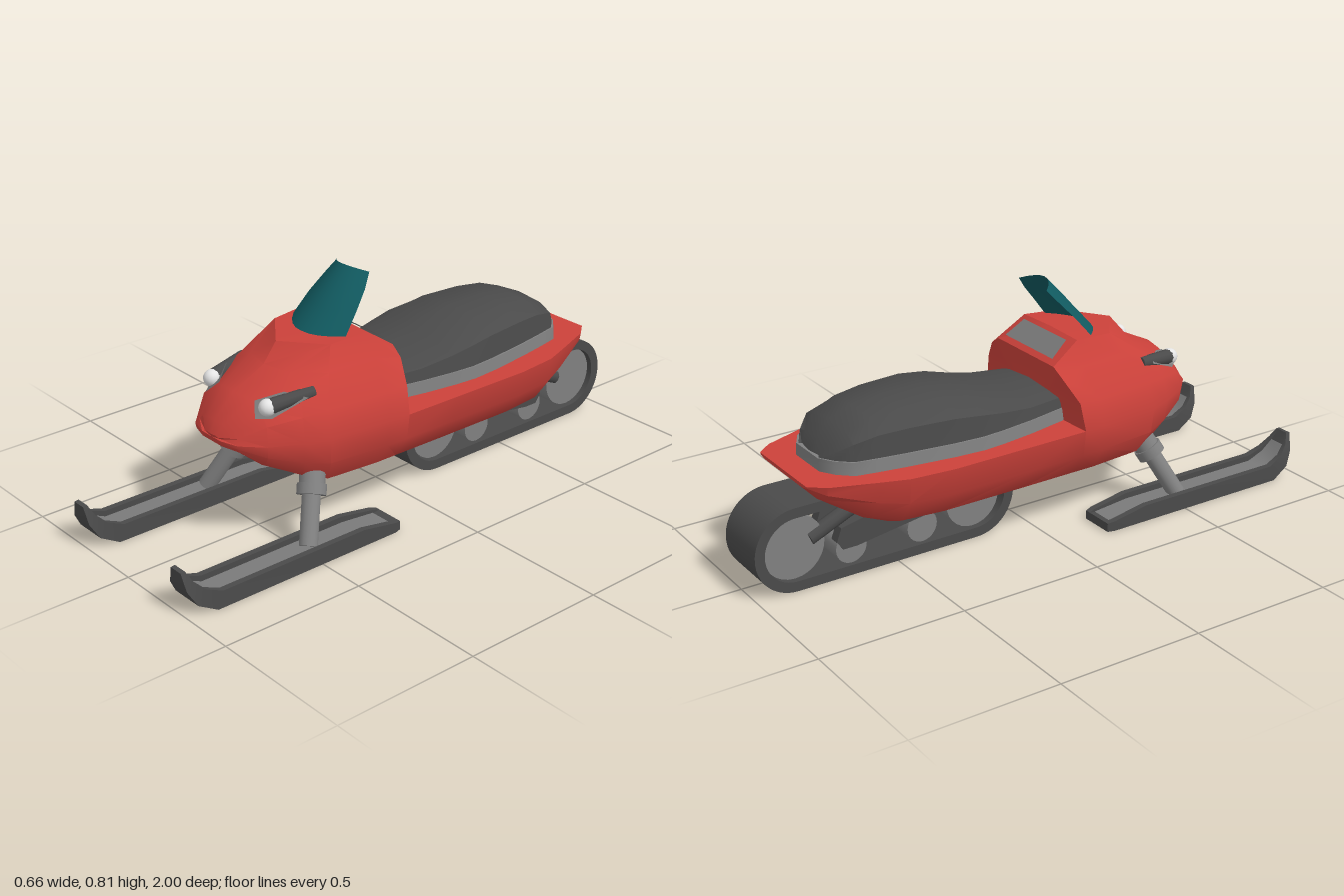
import * as THREE from 'three';
import { toCreasedNormals } from 'three/addons/utils/BufferGeometryUtils.js';

const paint = (name, color, side = THREE.FrontSide) => {
  const m = new THREE.MeshStandardMaterial({ color, side });
  m.name = name;
  return m;
};

// Closed skin through rings of equal point count, capped at both ends and turned outwards
function loft(rings, crease = 0.6) {
  const n = rings[0].length, pos = rings.flat(2), idx = [];
  for (let i = 0; i < rings.length - 1; i++) for (let j = 0; j < n; j++) {
    const a = i * n + j, b = i * n + (j + 1) % n;
    idx.push(a, b, b + n, a, b + n, a + n);
  }
  [0, rings.length - 1].forEach((r, end) => {
    const c = pos.length / 3;
    for (let k = 0; k < 3; k++) pos.push(rings[r].reduce((s, p) => s + p[k], 0) / n);
    for (let j = 0; j < n; j++) {
      const a = r * n + j, b = r * n + (j + 1) % n;
      idx.push(c, end ? a : b, end ? b : a);
    }
  });
  const v = i => new THREE.Vector3().fromArray(pos, i * 3);
  let volume = 0;
  for (let i = 0; i < idx.length; i += 3) volume += v(idx[i]).dot(v(idx[i + 1]).cross(v(idx[i + 2])));
  if (volume < 0) idx.reverse();
  const g = new THREE.BufferGeometry();
  g.setAttribute('position', new THREE.Float32BufferAttribute(pos, 3));
  g.setIndex(idx);
  return toCreasedNormals(g, crease);
}

// Open sheet through rows of points
function sheet(rows) {
  const n = rows[0].length, idx = [];
  for (let i = 0; i < rows.length - 1; i++) for (let j = 0; j < n - 1; j++) {
    const a = i * n + j;
    idx.push(a, a + 1, a + n + 1, a, a + n + 1, a + n);
  }
  const g = new THREE.BufferGeometry();
  g.setAttribute('position', new THREE.Float32BufferAttribute(rows.flat(2), 3));
  g.setIndex(idx);
  g.computeVertexNormals();
  return g;
}

// Complete a half section (belly to top centre) by mirroring in x
const mirrored = half => [...half, ...half.filter(p => p[0] > 0).reverse().map(([x, y, z]) => [-x, y, z])];

// Rounded flank from the belly edge up to the widest line at deck height
const DECK = .37;
const flank = (belly, side, bottom, zBelly, zSide) => [[0, 1], [.52, .84], [.92, .44], [1, 0]].map(([out, drop]) =>
  [belly + (side - belly) * out, DECK + (bottom - DECK) * drop, zBelly + (zSide - zBelly) * out]);

// Cylinder between two points
function rod(a, b, ra, rb = ra, sides = 16) {
  const A = new THREE.Vector3(...a), B = new THREE.Vector3(...b), d = B.clone().sub(A);
  const g = new THREE.CylinderGeometry(rb, ra, d.length(), sides);
  g.applyQuaternion(new THREE.Quaternion().setFromUnitVectors(new THREE.Vector3(0, 1, 0), d.normalize()));
  return g.translate(...A.add(B).multiplyScalar(0.5).toArray());
}

// Extrude a (z, y) outline across x
function across(shape, half) {
  const g = new THREE.ExtrudeGeometry(shape, { depth: half * 2, bevelEnabled: false, curveSegments: 14 });
  return toCreasedNormals(g.translate(0, 0, -half).rotateY(-Math.PI / 2), 0.6);
}

function stadium(path, z0, z1, y, r) {
  path.absarc(z1, y, r, -Math.PI / 2, Math.PI / 2, false);
  path.absarc(z0, y, r, Math.PI / 2, Math.PI * 1.5, false);
  path.closePath();
  return path;
}

export function createModel() {
  const red = paint('bodyRed', 0xcb413a), dark = paint('darkRubber', 0x4a4a4a), grey = paint('metalGrey', 0x808080);
  const greySheet = paint('panelGrey', 0x7a7a7a, THREE.DoubleSide);
  const teal = paint('windshieldTeal', 0x115a60, THREE.DoubleSide), white = paint('lampWhite', 0xe4e4e4);
  const model = new THREE.Group();
  model.name = 'snowmobile';
  const group = (parent, name, x = 0) => {
    const g = new THREE.Group();
    g.name = name;
    g.position.x = x;
    parent.add(g);
    return g;
  };
  const add = (parent, name, geometry, material) => {
    const m = new THREE.Mesh(geometry, material);
    m.name = name;
    parent.add(m);
    return m;
  };
  const body = group(model, 'body', -.007);

  // Cowl, dashboard to nose: flank values, upper x y, shoulder x y z, hood edge x y z, centre y z
  const cowl = [
    [.15, .288, .168, .1, .1, .266, .46, .205, .53, .065, .16, .56, .06, .56, .06],
    [.15, .284, .167, .18, .18, .262, .46, .19, .55, .16, .15, .628, .16, .632, .16],
    [.15, .262, .172, .34, .4, .24, .46, .18, .55, .34, .14, .62, .3, .617, .405],
    [.135, .232, .21, .43, .48, .215, .45, .165, .52, .44, .1, .55, .43, .553, .455],
    [.115, .178, .28, .56, .58, .163, .43, .12, .47, .56, .07, .49, .565, .495, .575],
    [.105, .111, .345, .638, .645, .1, .388, .075, .405, .64, .04, .417, .645, .42, .65],
    [.05, .05, .353, .662, .664, .045, .372, .035, .377, .664, .02, .38, .665, .38, .668],
  ].map(([belly, side, bottom, zb, zs, ux, uy, sx, sy, sz, ex, ey, ez, cy, cz]) => mirrored([
    ...flank(belly, side, bottom, zb, zs), [ux, uy, zs - .008], [sx, sy, sz], [ex, ey, ez], [0, cy, cz]]));
  add(body, 'cowl', loft(cowl, 0.55), red);

  // Rear hull with flat deck: z, belly and rim half widths, bottom height
  const hull = [[.1, .15, .288, .168], [-.1, .15, .291, .167], [-.4, .15, .295, .167], [-.55, .14, .281, .17],
    [-.64, .13, .25, .205], [-.79, .12, .195, .305], [-.84, .11, .153, .358]];
  add(body, 'hull', loft(hull.map(([z, belly, rim, bottom]) =>
    mirrored([...flank(belly, rim, bottom, z, z), [0, DECK, z]])), 0.55), red);

  // Seat and its trim: z, half width, top height
  const seat = [[.1, .165, .468], [-.05, .197, .476], [-.17, .215, .502], [-.25, .222, .523], [-.35, .215, .538],
    [-.5, .195, .538], [-.6, .178, .528], [-.68, .162, .5], [-.725, .12, .452], [-.755, .07, .415]];
  add(body, 'seatTrim', loft(seat.map(([z, w]) => mirrored([[w + .006, .365, z], [w, .412, z], [0, .412, z]]))), grey);
  add(body, 'seat', loft(seat.map(([z, w, t]) => mirrored([[w * .98, .408, z + .004],
    [w * .93, .408 + (t - .408) * .62, z + .006], [w * .65, t - .01, z + .008], [0, t, z + .008]])), 0.75), dark);

  // Dashboard panel on the sloping rear of the cowl
  add(body, 'dashPanel', sheet([[[-.135, .577, .073], [.135, .577, .073]], [[-.12, .624, .138], [.12, .624, .138]]]), greySheet);

  // Curved windshield: half width, edge y, centre y, edge z, centre z
  const glass = [[.132, .618, .622, .235, .305], [.118, .69, .692, .175, .24], [.1, .745, .755, .125, .185], [.079, .79, .808, .088, .135]];
  add(body, 'windshield', sheet(glass.map(([w, ye, yc, ze, zc]) => Array.from({ length: 9 }, (_, i) => {
    const t = i / 4 - 1, k = t * t;
    return [w * t, yc + (ye - yc) * k, zc + (ze - zc) * k];
  }))), teal);

  for (const s of [1, -1]) {
    const side = s > 0 ? 'left' : 'right';

    // Headlight: bezel, pod and lamp
    const light = group(body, side + 'Headlight');
    const rim = [[.2, .502, .437], [.146, .52, .49], [.09, .492, .562], [.128, .452, .59], [.162, .452, .552], [.2, .502, .437]];
    add(light, 'bezel', sheet([rim.map(() => [s * .146, .487, .525]), rim.map(([x, y, z]) => [s * x, y, z])]), greySheet);
    add(light, 'pod', rod([s * .143, .485, .555], [s * .18, .505, .4], .026, .02, 10), dark);
    add(light, 'lamp', new THREE.SphereGeometry(.028, 14, 10).translate(s * .143, .485, .553), white);

    // Front suspension leg with collar
    const leg = group(model, side + 'Leg', -.004);
    const at = t => [s * (.168 + .1 * t), .262 - .225 * t, .4 + .105 * t];
    add(leg, 'legRod', rod(at(.2), at(1), .03), grey);
    add(leg, 'collar', rod(at(0), at(.34), .042), grey);
    add(leg, 'collarCap', new THREE.SphereGeometry(.042, 16, 10).translate(...at(0)), grey);
    add(leg, 'collarRing', rod(at(.27), at(.4), .048), grey);

    // Ski: bottom z y, top z y, half width, trough depth
    const ski = [[.175, 0, .175, .03, .06, 0], [.2, 0, .2, .035, .067, .012], [.33, 0, .33, .058, .067, .022],
      [.9, 0, .88, .058, .067, .022], [.965, .035, .935, .08, .058, .016], [.993, .085, .968, .112, .043, .008],
      [1, .144, .985, .146, .025, 0]];
    const skiGroup = group(model, side + 'Ski', s * .263);
    add(skiGroup, 'skiShell', loft(ski.map(([zb, yb, zt, yt, w, d]) => {
      const i = w * .68;
      return [[-w, yb, zb], [w, yb, zb], [w, yt, zt], [i, yt, zt], [i, yt - d, zt], [-i, yt - d, zt], [-i, yt, zt], [-w, yt, zt]];
    }), 0.5), dark);
    add(skiGroup, 'skiTrough', sheet(ski.slice(1, -1).map(([, , zt, yt, w, d]) =>
      [[-w * .68, yt - d + .002, zt], [w * .68, yt - d + .002, zt]])), greySheet);
  }

  // Track: belt loop, wheels and suspension
  const track = group(model, 'track', -.01);
  const belt = stadium(new THREE.Shape(), -.858, -.2, .142, .142);
  belt.holes.push(stadium(new THREE.Path(), -.858, -.2, .142, .108));
  add(track, 'belt', across(belt, .1), dark);
  for (const [z, y, r, w] of [[-.858, .142, .107, .08], [-.205, .135, .1, .08], [-.4, .09, .055, .085], [-.66, .09, .055, .085]])
    add(track, 'wheel', rod([-w, y, z], [w, y, z], r, r, 28), grey);
  const rail = new THREE.Shape([[-.15, .21], [-.15, .17], [-.3, .14], [-.64, .09], [-.69, .09], [-.712, .12], [-.695, .165], [-.6, .185]]
    .map(p => new THREE.Vector2(...p)));
  for (const x of [-.07, .07]) {
    add(track, 'rail', across(rail, .018), dark).position.x = x;
    add(track, 'strut', rod([x, .25, -.58], [x, .155, -.8], .025, .025, 10), dark);
  }
  return model;
}
